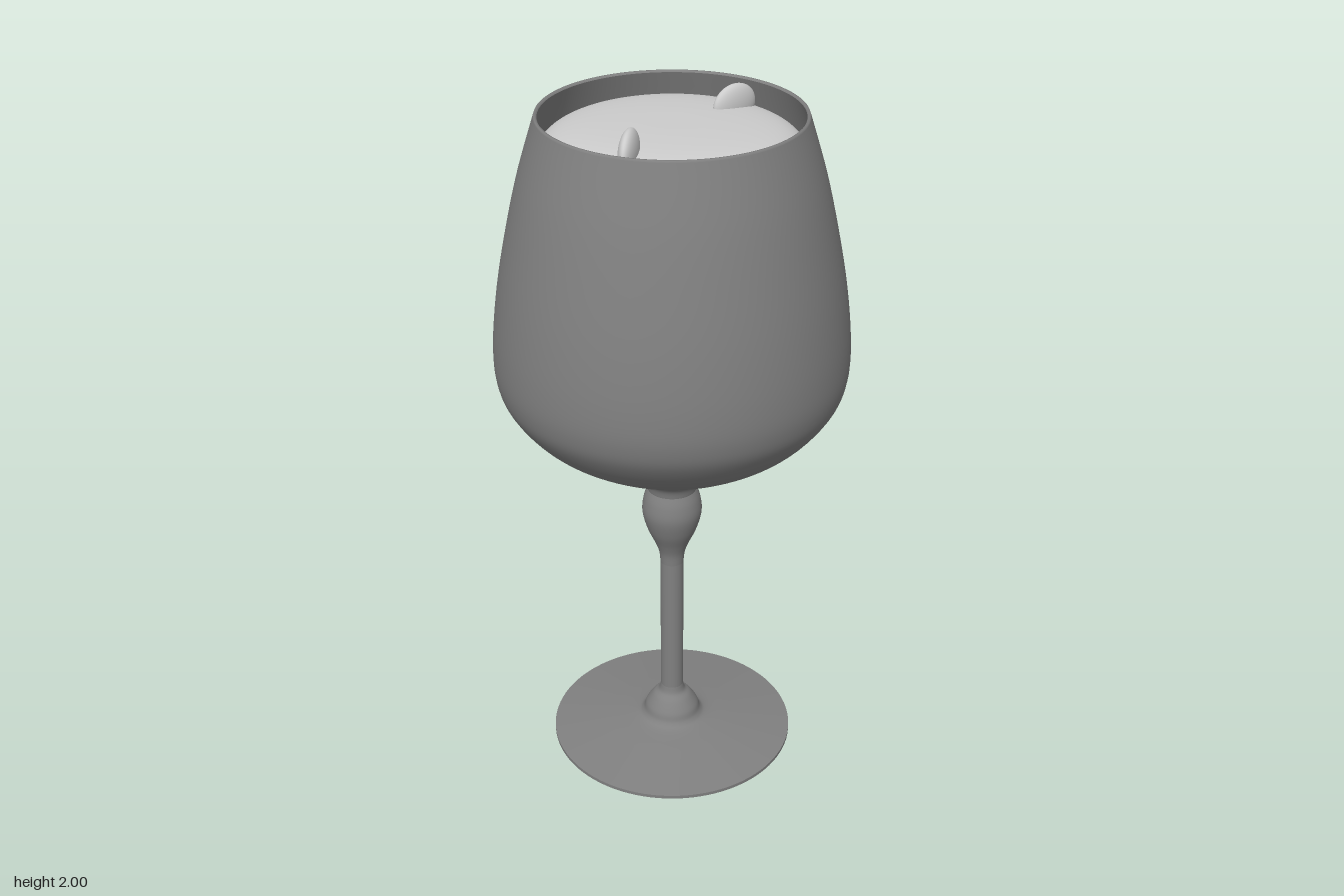
import * as THREE from 'three';

const SEGMENTS = 96;
const vectors = (pairs) => pairs.map(([x, y]) => new THREE.Vector2(x, y));

// Smooth curve through a few [radius, height] points
const smooth = (pairs, n) => new THREE.SplineCurve(vectors(pairs)).getPoints(n);

function lathe(name, points, material) {
  const mesh = new THREE.Mesh(new THREE.LatheGeometry(points, SEGMENTS), material);
  mesh.name = name;
  return mesh;
}

export function createModel() {
  const group = new THREE.Group();
  group.name = 'goblet';
  const glass = new THREE.MeshStandardMaterial({ color: 0x808080 });
  const light = new THREE.MeshStandardMaterial({ color: 0xcccccc });

  // Foot: flat underside, thin edge and gently sloping top
  group.add(lathe('footUnderside', vectors([[0, 0], [0.362, 0]]), glass));
  group.add(lathe('footEdge', vectors([[0.362, 0], [0.362, 0.01]]), glass));
  group.add(lathe('footTop', smooth([
    [0.362, 0.01], [0.27, 0.022], [0.18, 0.034], [0.11, 0.044], [0.088, 0.058],
    [0.078, 0.085], [0.058, 0.115], [0.04, 0.132], [0.034, 0.155],
  ], 48), glass));

  // Straight stem running into the bulb below the bowl
  group.add(lathe('stem', vectors([[0.034, 0.15], [0.034, 0.61]]), glass));
  group.add(lathe('stemBulb', smooth([
    [0.034, 0.6], [0.038, 0.635], [0.05, 0.67], [0.072, 0.72], [0.086, 0.775],
    [0.082, 0.82], [0.07, 0.855],
  ], 40), glass));

  // Bowl: outer wall, rounded rim and thin inner wall
  group.add(lathe('bowlOuter', smooth([
    [0.07, 0.85], [0.082, 0.885], [0.13, 0.925], [0.265, 1.0], [0.385, 1.08],
    [0.458, 1.165], [0.486, 1.24], [0.489, 1.34], [0.474, 1.48], [0.447, 1.63],
    [0.408, 1.8], [0.357, 1.968],
  ], 90), glass));
  group.add(lathe('bowlRim', vectors([
    [0.357, 1.968], [0.355, 1.973], [0.35, 1.973], [0.347, 1.968],
  ]), glass));
  group.add(lathe('bowlInner', smooth([
    [0.347, 1.968], [0.398, 1.8], [0.437, 1.63], [0.464, 1.48], [0.478, 1.34],
    [0.475, 1.24], [0.445, 1.165], [0.37, 1.08], [0.245, 1.0], [0.1, 0.94], [0, 0.93],
  ], 60), glass));

  // Filling with a domed top that rolls down at the wall
  group.add(lathe('filling', smooth([
    [0.385, 1.81], [0.366, 1.86], [0.345, 1.89], [0.315, 1.915], [0.27, 1.932],
    [0.2, 1.943], [0.1, 1.949], [0, 1.95],
  ], 40), light));

  // Two slim seeds standing on edge in the filling
  for (const [x, z, turn, length] of [[0.046, -0.217, -0.24, 0.072], [0.037, 0.232, 0.44, 0.075]]) {
    const seed = new THREE.Mesh(new THREE.SphereGeometry(1, 32, 24), light);
    seed.name = 'seed';
    seed.scale.set(0.024, 0.057, length);
    seed.position.set(x, 1.943, z);
    seed.rotation.y = turn;
    group.add(seed);
  }
  return group;
}
